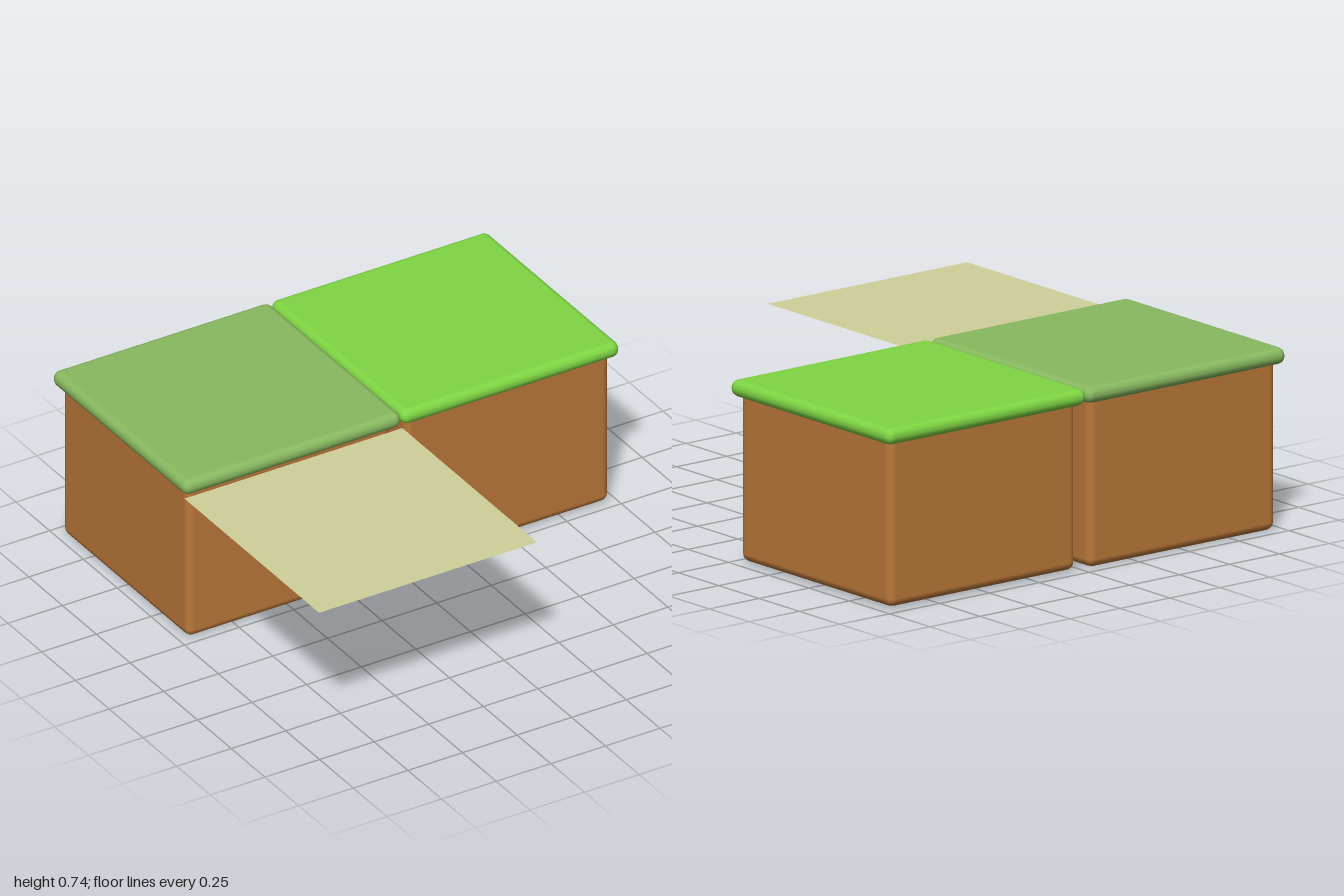
import * as THREE from 'three';
import { RoundedBoxGeometry } from 'three/addons/geometries/RoundedBoxGeometry.js';

function material(name, color) {
  const m = new THREE.MeshStandardMaterial({ color });
  m.name = name;
  return m;
}

const soil = material('soil brown', 0xbb7839);
const brightGrass = material('bright grass green', 0x7fd643);
const dullGrass = material('dull grass green', 0x88ba60);
const sand = material('pale sand', 0xd0d09b);
sand.side = THREE.DoubleSide;

function mesh(name, geometry, mat, x, y, z) {
  const m = new THREE.Mesh(geometry, mat);
  m.name = name;
  m.position.set(x, y, z);
  return m;
}

// A soil block with an overhanging, round-edged grass slab
function makeTile(name, x, bottom, grass) {
  const tile = new THREE.Group();
  tile.name = name;
  const top = 0.70;
  const height = top - bottom;
  tile.add(
    mesh('soilBlock', new RoundedBoxGeometry(0.934, height, 0.934, 2, 0.033), soil, 0, bottom + height / 2, 0),
    mesh('grassSlab', new RoundedBoxGeometry(0.998, 0.068, 0.998, 2, 0.033), grass, 0, 0.704, 0)
  );
  tile.position.set(x, 0, -0.496);
  return tile;
}

export function createModel() {
  const model = new THREE.Group();
  model.name = 'groundTiles';
  model.add(makeTile('brightTile', 0.5, 0.007, brightGrass));
  model.add(makeTile('dullTile', -0.5, 0, dullGrass));

  // Flat sheet in front of the dull tile
  const sheet = new THREE.PlaneGeometry(0.998, 0.998).rotateX(-Math.PI / 2);
  model.add(mesh('sandSheet', sheet, sand, -0.5, 0.668, 0.496));
  return model;
}
